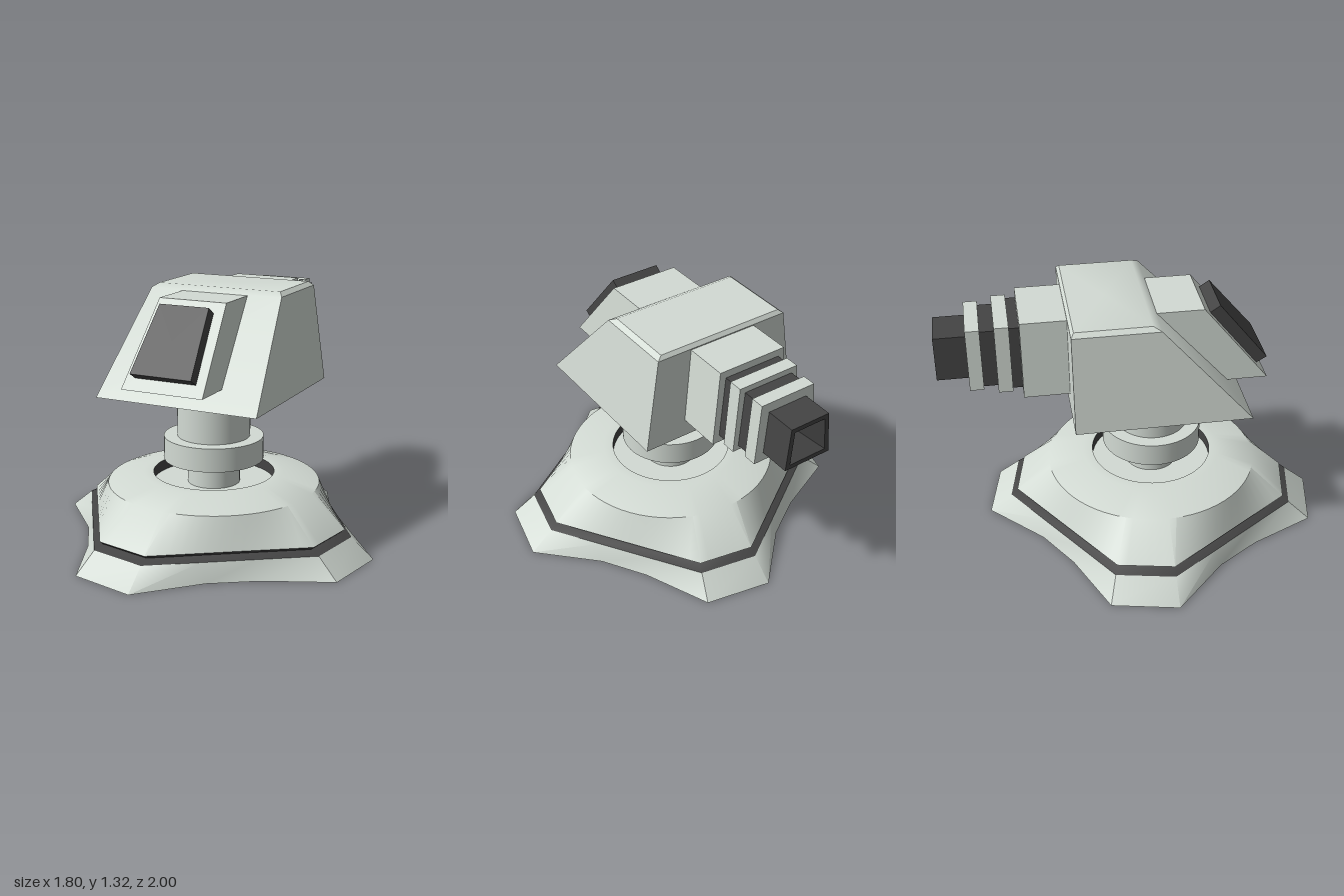
import * as THREE from 'three';
import { toCreasedNormals } from 'three/addons/utils/BufferGeometryUtils.js';

const CZ = 0.1; // the base and column stand slightly forward of centre
const light = new THREE.MeshStandardMaterial({ color: 0xd3dbd4 });
const dark = new THREE.MeshStandardMaterial({ color: 0x444444 });

// Skin matching rings of [x, y, z] points, with optional flat end caps
function loft(rings, capStart = true, capEnd = true) {
  const pos = [];
  const tri = (...pts) => pts.forEach((p) => pos.push(...p));
  const n = rings[0].length;
  for (let i = 0; i < rings.length - 1; i++) {
    for (let j = 0; j < n; j++) {
      const k = (j + 1) % n, a = rings[i], b = rings[i + 1];
      tri(a[j], b[j], a[k]);
      tri(a[k], b[j], b[k]);
    }
  }
  const cap = (ring, flip) => {
    const c = [0, 1, 2].map((d) => ring.reduce((s, p) => s + p[d], 0) / n);
    for (let j = 0; j < n; j++) {
      const k = (j + 1) % n;
      if (flip) tri(c, ring[j], ring[k]);
      else tri(c, ring[k], ring[j]);
    }
  };
  if (capStart) cap(rings[0], true);
  if (capEnd) cap(rings[rings.length - 1], false);
  const g = new THREE.BufferGeometry();
  g.setAttribute('position', new THREE.Float32BufferAttribute(pos, 3));
  return toCreasedNormals(g, 0.55);
}

// Repeat one quarter of a plan outline four times around the centre
function quarterTurns(quarter) {
  const out = [];
  let q = quarter;
  for (let i = 0; i < 4; i++) {
    out.push(...q);
    q = q.map(([x, z]) => [-z, x]);
  }
  return out;
}

// Octagon outline with short and long sides, each split at the given fractions
function octagon(shortT, longT) {
  const corners = [[0.78, 0], [0.72, 0.3], [0, 0.78]];
  const along = (a, b, t) => [a[0] + (b[0] - a[0]) * t, a[1] + (b[1] - a[1]) * t];
  return quarterTurns([
    ...shortT.map((t) => along(corners[0], corners[1], t)),
    ...longT.map((t) => along(corners[1], corners[2], t)),
  ]);
}

const atHeight = (plan, y, s = 1) => plan.map(([x, z]) => [x * s, y, z * s + CZ]);

// Upright trapezoid ring; z may differ between its bottom and top edges
const trapezoid = (b, t, y0, y1, z0, z1 = z0) =>
  [[b, y0, z0], [t, y1, z1], [-t, y1, z1], [-b, y0, z0]];

const rectangle = (w, y, zBack, zFront) =>
  [[w, y, zFront], [-w, y, zFront], [-w, y, zBack], [w, y, zBack]];

export function createModel() {
  const model = new THREE.Group();
  const add = (name, geometry, material = light) => {
    const mesh = new THREE.Mesh(geometry, material);
    mesh.name = name;
    model.add(mesh);
    return mesh;
  };

  // Four-cornered foot with hollowed sides
  const star = quarterTurns([[0.9, 0], [0.83, 0.34], [0.49, 0.49], [0.27, 0.63]]);
  add('foot', loft([atHeight(star, 0), atHeight(octagon([0], [0, 0.35, 0.67]), 0.1)]));

  // Pinched dark seam between foot and dome
  const oct = octagon([0], [0]);
  add('seam', loft([atHeight(oct, 0.1), atHeight(oct, 0.118, 0.93), atHeight(oct, 0.135, 0.955)]), dark);

  // Dome blending from the octagon to a round top
  const steps = (n) => Array.from({ length: n }, (_, i) => i / n);
  const fine = octagon(steps(6), steps(14));
  const circle = (r, y) => atHeight(fine.map(([x, z]) => {
    const l = Math.hypot(x, z);
    return [x * r / l, z * r / l];
  }), y);
  add('dome', loft([
    atHeight(fine, 0.135, 0.955), circle(0.56, 0.297), circle(0.37, 0.343), circle(0.32, 0.343),
  ], false, false));

  // Round well in the top of the dome
  add('wellWall', loft([circle(0.32, 0.343), circle(0.32, 0.285)], false, false), dark);
  add('wellFloor', loft([circle(0.32, 0.28), circle(0.32, 0.286)]));

  // Column with collar
  for (const [name, r, y0, y1] of [
    ['stem', 0.138, 0.28, 0.42], ['collar', 0.263, 0.417, 0.542], ['column', 0.192, 0.54, 0.8],
  ]) {
    add(name, new THREE.CylinderGeometry(r, r, y1 - y0, 48)).position.set(0, (y0 + y1) / 2, CZ);
  }

  // Wedge-shaped housing with a bevelled top
  add('housing', loft([
    rectangle(0.443, 0.795, -0.35, 0.54),
    rectangle(0.37, 1.295, -0.35, 0.085),
    rectangle(0.345, 1.315, -0.335, 0.045),
  ]));

  // Tapered block running through the housing
  add('throughBlock', loft([
    trapezoid(0.22, 0.185, 0.89, 1.29, 0.66, 0.33),
    trapezoid(0.22, 0.185, 0.89, 1.29, -0.58),
  ]));

  // Dark sloping front panel
  add('frontPanel', loft([
    trapezoid(0.165, 0.135, 0.975, 1.277, 0.668, 0.42),
    trapezoid(0.165, 0.135, 0.94, 1.24, 0.61, 0.365),
  ]), dark);

  // Alternating dark and light rear rings
  for (const [name, b, t, y0, y1, z0, z1, material] of [
    ['rearNeck', 0.183, 0.153, 0.93, 1.252, -0.57, -0.63, dark],
    ['rearRing', 0.193, 0.165, 0.915, 1.265, -0.63, -0.702, light],
    ['rearNeck', 0.163, 0.135, 0.94, 1.235, -0.70, -0.775, dark],
    ['rearRing', 0.178, 0.15, 0.93, 1.25, -0.772, -0.842, light],
  ]) {
    add(name, loft([trapezoid(b, t, y0, y1, z0), trapezoid(b, t, y0, y1, z1)]), material);
  }

  // Rear nozzle with a funnel-shaped opening
  add('nozzle', loft([
    trapezoid(0.128, 0.107, 0.975, 1.2, -0.83),
    trapezoid(0.128, 0.107, 0.975, 1.2, -1),
    trapezoid(0.102, 0.086, 0.998, 1.177, -1),
    trapezoid(0.012, 0.01, 1.078, 1.098, -0.86),
  ]), dark);

  return model;
}
